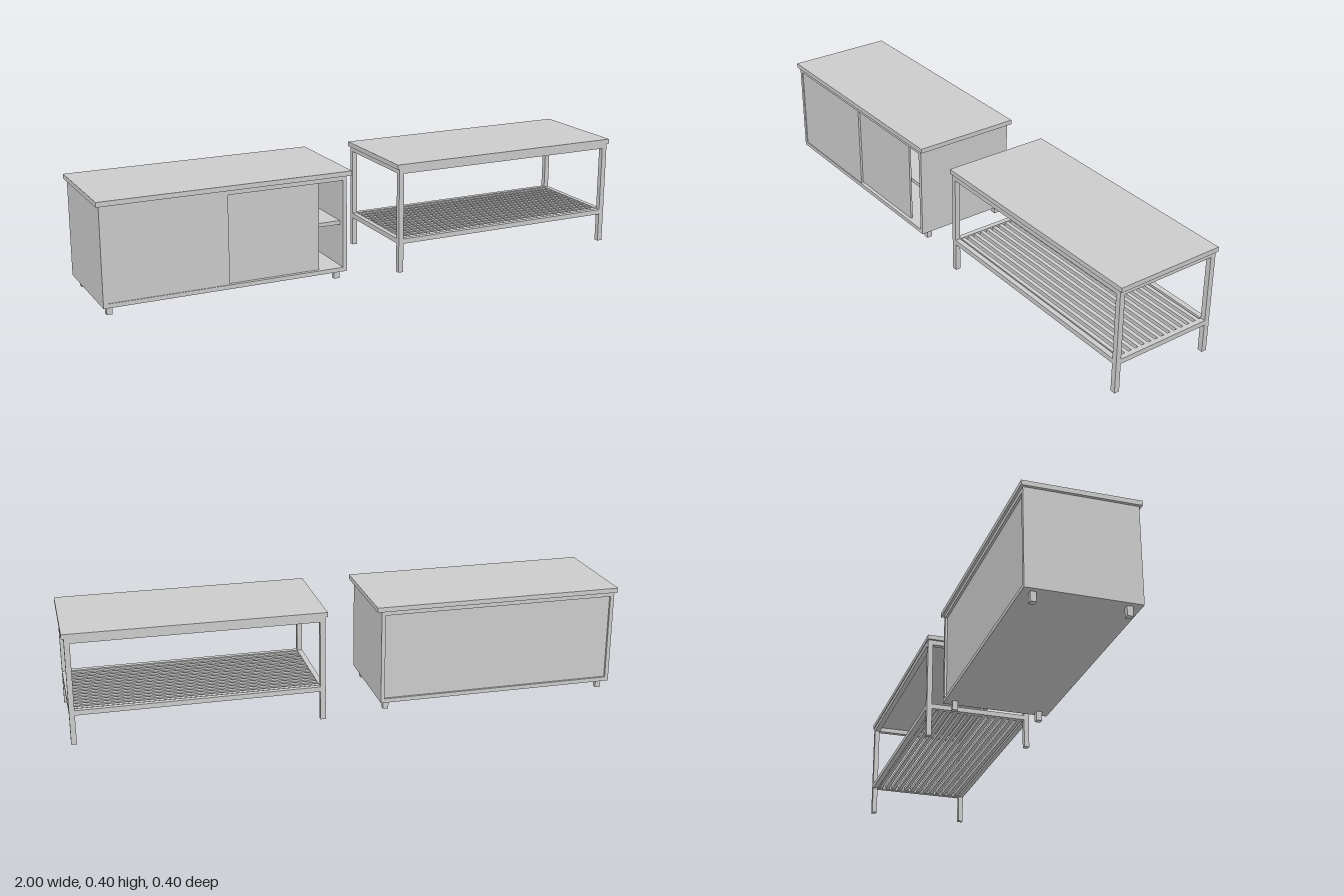
import * as THREE from 'three';

const material = new THREE.MeshStandardMaterial({ color: 0xcccccc });

// Box given by its minimum and maximum on each axis
function box(parent, name, [x0, x1], [y0, y1], [z0, z1]) {
  const mesh = new THREE.Mesh(new THREE.BoxGeometry(x1 - x0, y1 - y0, z1 - z0), material);
  mesh.position.set((x0 + x1) / 2, (y0 + y1) / 2, (z0 + z1) / 2);
  mesh.name = name;
  parent.add(mesh);
}

const TOP = [0.385, 0.402];

function createTable() {
  const table = new THREE.Group();
  table.name = 'openTable';
  const x0 = 0.098, x1 = 0.992, z = 0.197, t = 0.019;
  box(table, 'tableTop', [0.09, 1], TOP, [-0.2, 0.2]);

  // Square legs
  for (const x of [x0, x1 - t]) {
    for (const lz of [-z, z - t]) box(table, 'tableLeg', [x, x + t], [0, 0.385], [lz, lz + t]);
  }

  // Rails under the top and around the shelf
  for (const [name, y] of [['apronRail', [0.367, 0.385]], ['shelfRail', [0.107, 0.125]]]) {
    for (const rz of [-z, z - t]) box(table, name, [x0 + t, x1 - t], y, [rz, rz + t]);
    for (const rx of [x0, x1 - t]) box(table, name, [rx, rx + t], y, [-z + t, z - t]);
  }

  // Lengthwise shelf slats
  const slats = 13, pitch = 2 * (z - t) / slats;
  for (let i = 0; i < slats; i++) {
    const c = -z + t + pitch * (i + 0.5);
    box(table, 'shelfSlat', [x0 + t, x1 - t], [0.109, 0.123], [c - 0.0075, c + 0.0075]);
  }
  return table;
}

function createCabinet() {
  const cabinet = new THREE.Group();
  cabinet.name = 'cabinet';
  const x0 = -0.99, x1 = -0.107, z = 0.192, t = 0.014;
  const inside = [x0 + t, x1 - t];
  box(cabinet, 'cabinetTop', [-1, -0.09], TOP, [-0.2, 0.2]);

  // Hollow carcass
  box(cabinet, 'sidePanel', [x0, x0 + t], [0.037, 0.385], [-z, z]);
  box(cabinet, 'sidePanel', [x1 - t, x1], [0.037, 0.385], [-z, z]);
  box(cabinet, 'floorPanel', inside, [0.037, 0.052], [-z, z]);
  box(cabinet, 'upperPanel', inside, [0.369, 0.385], [-z, z]);
  box(cabinet, 'backPanel', inside, [0.052, 0.369], [-z + 0.008, -z + 0.016]);
  box(cabinet, 'innerShelf', inside, [0.203, 0.217], [-z + 0.016, 0.165]);

  // Sliding doors, the second running behind the first and left part open
  box(cabinet, 'frontDoor', [x0 + t, -0.547], [0.052, 0.369], [0.181, 0.189]);
  box(cabinet, 'rearDoor', [-0.64, -0.208], [0.052, 0.369], [0.17, 0.178]);

  // Short feet
  for (const x of [-0.972, -0.142]) {
    for (const fz of [-0.167, 0.142]) box(cabinet, 'foot', [x, x + 0.02], [0.003, 0.037], [fz, fz + 0.02]);
  }
  return cabinet;
}

export function createModel() {
  const model = new THREE.Group();
  model.name = 'workTables';
  model.add(createCabinet(), createTable());
  return model;
}
